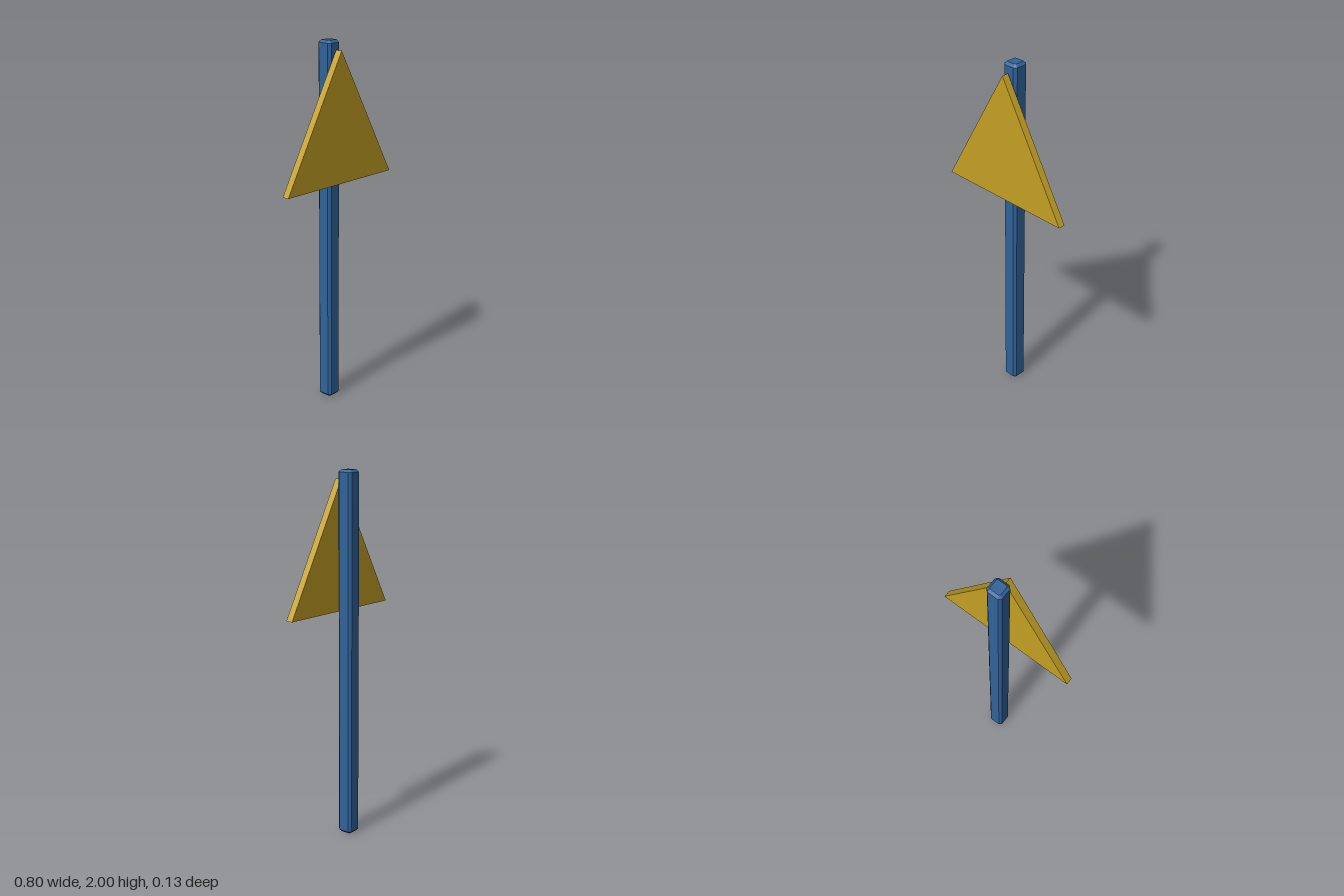
import * as THREE from 'three';

// Straight-edged outline extruded along z
function outline(points) {
  return new THREE.Shape(points.map(([x, y]) => new THREE.Vector2(x, y)));
}

export function createModel() {
  const model = new THREE.Group();
  const blue = new THREE.MeshStandardMaterial({ color: 0x306299 });
  blue.name = 'blue paint';
  const gold = new THREE.MeshStandardMaterial({ color: 0xc4a024 });
  gold.name = 'gold paint';

  // Square post with chamfered corners and chamfered ends
  const h = 0.044, c = 0.014, postHeight = 2;
  const section = outline([
    [h, -h + c], [h, h - c], [h - c, h], [-h + c, h],
    [-h, h - c], [-h, -h + c], [-h + c, -h], [h - c, -h],
  ]);
  const postGeometry = new THREE.ExtrudeGeometry(section, {
    depth: postHeight - 2 * c,
    bevelEnabled: true, bevelSegments: 1,
    bevelThickness: c, bevelSize: c, bevelOffset: -c,
  });
  postGeometry.translate(0, 0, c).rotateX(-Math.PI / 2);
  const post = new THREE.Mesh(postGeometry, blue);
  post.name = 'post';
  post.position.z = -0.023;
  model.add(post);

  // Triangular panel standing just in front of the post
  const panel = new THREE.Mesh(
    new THREE.ExtrudeGeometry(outline([[-0.4, 1.25], [0.4, 1.25], [0, 1.95]]), {
      depth: 0.039, bevelEnabled: false,
    }),
    gold,
  );
  panel.name = 'trianglePanel';
  panel.position.z = 0.027;
  model.add(panel);

  return model;
}
